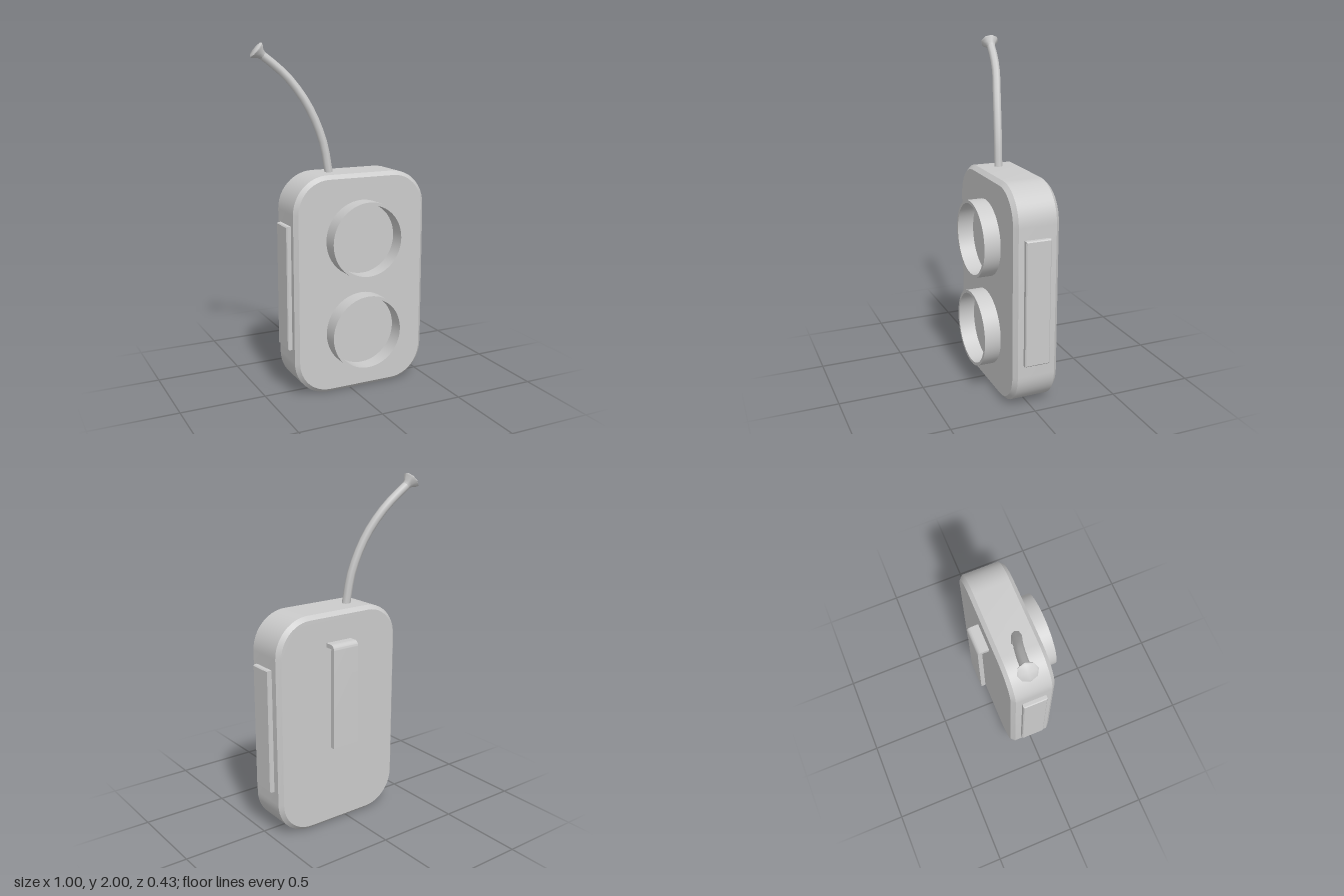
import * as THREE from 'three';
import { toCreasedNormals } from 'three/addons/utils/BufferGeometryUtils.js';

const CX = 0.063; // middle of the case

function roundedRect(w, h, r) {
  const s = new THREE.Shape(), x = w / 2, y = h / 2;
  s.moveTo(-x + r, -y);
  s.lineTo(x - r, -y);
  s.absarc(x - r, -y + r, r, -Math.PI / 2, 0);
  s.lineTo(x, y - r);
  s.absarc(x - r, y - r, r, 0, Math.PI / 2);
  s.lineTo(-x + r, y);
  s.absarc(-x + r, y - r, r, Math.PI / 2, Math.PI);
  s.lineTo(-x, -y + r);
  s.absarc(-x + r, -y + r, r, Math.PI, Math.PI * 1.5);
  return s;
}

// Extrusion centred on its depth, with a one-step chamfer inside the outline
function slab(shape, depth, bevel, curveSegments = 6) {
  const g = new THREE.ExtrudeGeometry(shape, {
    depth: depth - 2 * bevel, curveSegments, bevelEnabled: bevel > 0,
    bevelThickness: bevel, bevelSize: bevel, bevelOffset: -bevel, bevelSegments: 1,
  });
  g.translate(0, 0, -(depth - 2 * bevel) / 2);
  return toCreasedNormals(g, 0.5);
}

export function createModel() {
  const model = new THREE.Group();
  const material = new THREE.MeshStandardMaterial({ color: 0xcccccc });
  const add = (name, geometry, x = 0, y = 0, z = 0) => {
    const mesh = new THREE.Mesh(geometry, material);
    mesh.name = name;
    mesh.position.set(x, y, z);
    model.add(mesh);
    return mesh;
  };

  // Case with chamfered front and back edges
  add('body', slab(roundedRect(0.828, 1.283, 0.21), 0.267, 0.023), CX, 0.6435, -0.0135);

  // Two open round rims on the front
  const rim = [[0.206, -0.01], [0.223, -0.01], [0.223, 0.095], [0.206, 0.095], [0.206, -0.01]]
    .map(([r, y]) => new THREE.Vector2(r, y));
  const rimGeometry = toCreasedNormals(new THREE.LatheGeometry(rim, 48).rotateX(Math.PI / 2), 0.5);
  add('upperRim', rimGeometry, CX, 0.911, 0.12);
  add('lowerRim', rimGeometry, CX, 0.365, 0.12);

  // Raised grip panels on both sides
  for (const side of [1, -1]) {
    const panel = new THREE.Shape([[-0.074, -0.362], [0.074, -0.362], [0.074, 0.362], [-0.074, 0.362]]
      .map(([x, y]) => new THREE.Vector2(x, y)));
    const grip = slab(panel, 0.05, 0.006).rotateY(Math.PI / 2);
    add(side > 0 ? 'leftGrip' : 'rightGrip', grip, CX + side * 0.415, 0.644, -0.011);
  }

  // Belt clip: bent strip drawn in the z-y plane
  const clip = new THREE.Shape();
  clip.moveTo(-0.13, 1.117);
  clip.lineTo(-0.187, 1.117);
  clip.absarc(-0.187, 1.087, 0.03, Math.PI / 2, Math.PI);
  clip.lineTo(-0.217, 0.505);
  clip.lineTo(-0.19, 0.505);
  clip.lineTo(-0.19, 1.082);
  clip.absarc(-0.2, 1.082, 0.01, 0, Math.PI / 2);
  clip.lineTo(-0.13, 1.092);
  add('beltClip', slab(clip, 0.168, 0).rotateY(-Math.PI / 2), 0.071, 0, 0);

  // Curved aerial
  const path = new THREE.CatmullRomCurve3([
    [-0.078, 1.26, -0.016], [-0.112, 1.46, -0.027], [-0.19, 1.66, -0.053],
    [-0.29, 1.81, -0.088], [-0.38, 1.895, -0.107], [-0.435, 1.938, -0.115],
  ].map((p) => new THREE.Vector3(...p)));
  add('aerial', new THREE.TubeGeometry(path, 12, 0.025, 8));

  // Flared tip along the aerial's end
  const tip = [[0.024, -0.01], [0.03, 0.012], [0.05, 0.034], [0.053, 0.042], [0.044, 0.049], [0, 0.049]]
    .map(([r, y]) => new THREE.Vector2(r, y));
  const flare = add('aerialTip', toCreasedNormals(new THREE.LatheGeometry(tip, 8), 0.9), -0.435, 1.938, -0.115);
  flare.quaternion.setFromUnitVectors(new THREE.Vector3(0, 1, 0),
    new THREE.Vector3(-0.76, 0.64, -0.09).normalize());

  return model;
}
